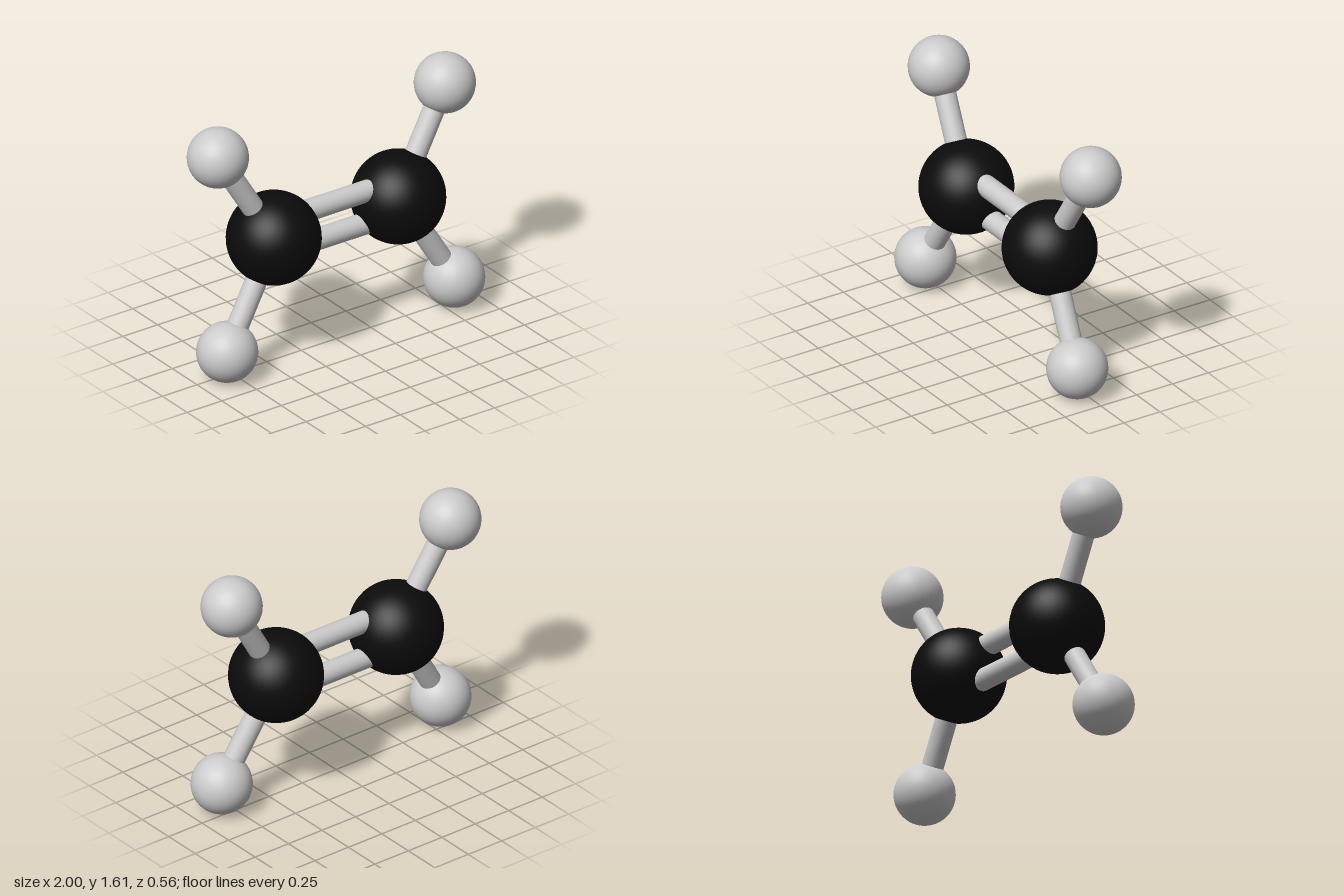
import * as THREE from 'three';

const MID_Y = 0.807;

export function createModel() {
  const model = new THREE.Group();
  const grey = new THREE.MeshStandardMaterial({ color: 0xcccccc });
  const black = new THREE.MeshStandardMaterial({ color: 0x0b0b0b });
  const largeBall = new THREE.SphereGeometry(0.282, 48, 32);
  const smallBall = new THREE.SphereGeometry(0.183, 40, 28);

  function addBall(name, geometry, material, position) {
    const ball = new THREE.Mesh(geometry, material);
    ball.name = name;
    ball.position.copy(position);
    model.add(ball);
  }

  // Round rod running between two points
  function addRod(name, from, to) {
    const dir = to.clone().sub(from);
    const rod = new THREE.Mesh(new THREE.CylinderGeometry(0.066, 0.066, dir.length(), 24), grey);
    rod.name = name;
    rod.position.copy(from).add(to).multiplyScalar(0.5);
    rod.quaternion.setFromUnitVectors(new THREE.Vector3(0, 1, 0), dir.normalize());
    model.add(rod);
  }

  for (const side of [1, -1]) {
    const sideName = side > 0 ? 'left' : 'right';
    const centre = new THREE.Vector3(side * 0.448, MID_Y, 0);
    addBall(sideName + 'CarbonAtom', largeBall, black, centre);

    // Outer atoms: the upper pair leans back, the lower pair forward
    for (const up of [1, -1]) {
      const label = sideName + (up > 0 ? 'Upper' : 'Lower');
      const outer = new THREE.Vector3(side * 0.817, MID_Y + up * 0.623, -up * 0.047);
      addBall(label + 'HydrogenAtom', smallBall, grey, outer);
      addRod(label + 'Bond', centre, outer);
    }
  }

  // Double bond between the two large atoms
  for (const up of [1, -1]) {
    const y = MID_Y + up * 0.114, z = up * 0.013;
    addRod(up > 0 ? 'upperCentreBond' : 'lowerCentreBond',
      new THREE.Vector3(-0.448, y, z), new THREE.Vector3(0.448, y, z));
  }
  return model;
}
